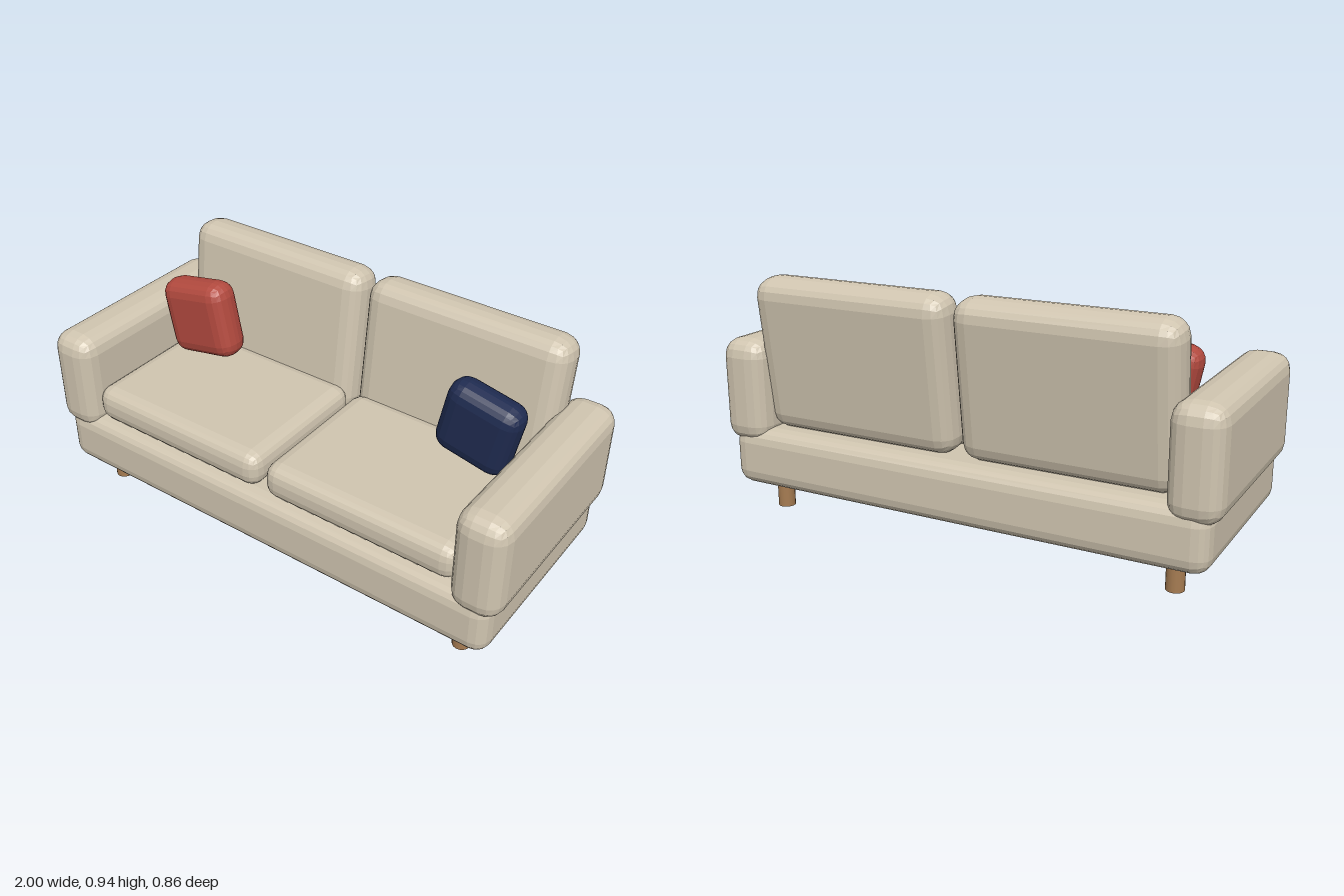
import * as THREE from 'three';
import { RoundedBoxGeometry } from 'three/addons/geometries/RoundedBoxGeometry.js';

const material = (name, color, flatShading = true) => {
  const m = new THREE.MeshStandardMaterial({ color, flatShading });
  m.name = name;
  return m;
};

export function createModel() {
  const sofa = new THREE.Group();
  sofa.name = 'sofa';

  const fabric = material('beige fabric', 0xd0c5b0);
  const wood = material('wood', 0xa67c52, false);
  const red = material('red fabric', 0xb34a3f);
  const navy = material('navy fabric', 0x1f2b50);

  // Softly bevelled upholstered block
  function block(name, mat, [w, h, d], radius, [x, y, z], rx = 0, rz = 0) {
    const mesh = new THREE.Mesh(new RoundedBoxGeometry(w, h, d, 2, radius), mat);
    mesh.name = name;
    mesh.position.set(x, y, z);
    mesh.rotation.set(rx, 0, rz);
    sofa.add(mesh);
  }

  block('base', fabric, [1.93, 0.235, 0.84], 0.06, [0, 0.2285, 0]);

  for (const [side, s] of [['left', 1], ['right', -1]]) {
    block(side + 'Arm', fabric, [0.195, 0.41, 0.86], 0.07, [s * 0.9025, 0.49, 0]);
    block(side + 'SeatCushion', fabric, [0.8, 0.145, 0.61], 0.055, [s * 0.415, 0.413, 0.085]);
    // Back cushions lean backwards
    block(side + 'BackCushion', fabric, [0.826, 0.6, 0.174], 0.07, [s * 0.425, 0.642, -0.301], -0.125);

    // Legs
    for (const [end, f] of [['Front', 1], ['Back', -1]]) {
      const leg = new THREE.Mesh(new THREE.CylinderGeometry(0.0335, 0.0335, 0.12, 16), wood);
      leg.name = side + end + 'Leg';
      leg.position.set(s * 0.82, 0.06, f * 0.288);
      sofa.add(leg);
    }
  }

  // Throw pillows, each tipped towards its arm
  block('redPillow', red, [0.315, 0.315, 0.14], 0.06, [-0.636, 0.657, -0.07], 0, 0.2);
  block('navyPillow', navy, [0.295, 0.3, 0.135], 0.06, [0.63, 0.648, -0.078], 0, -0.2);

  return sofa;
}
